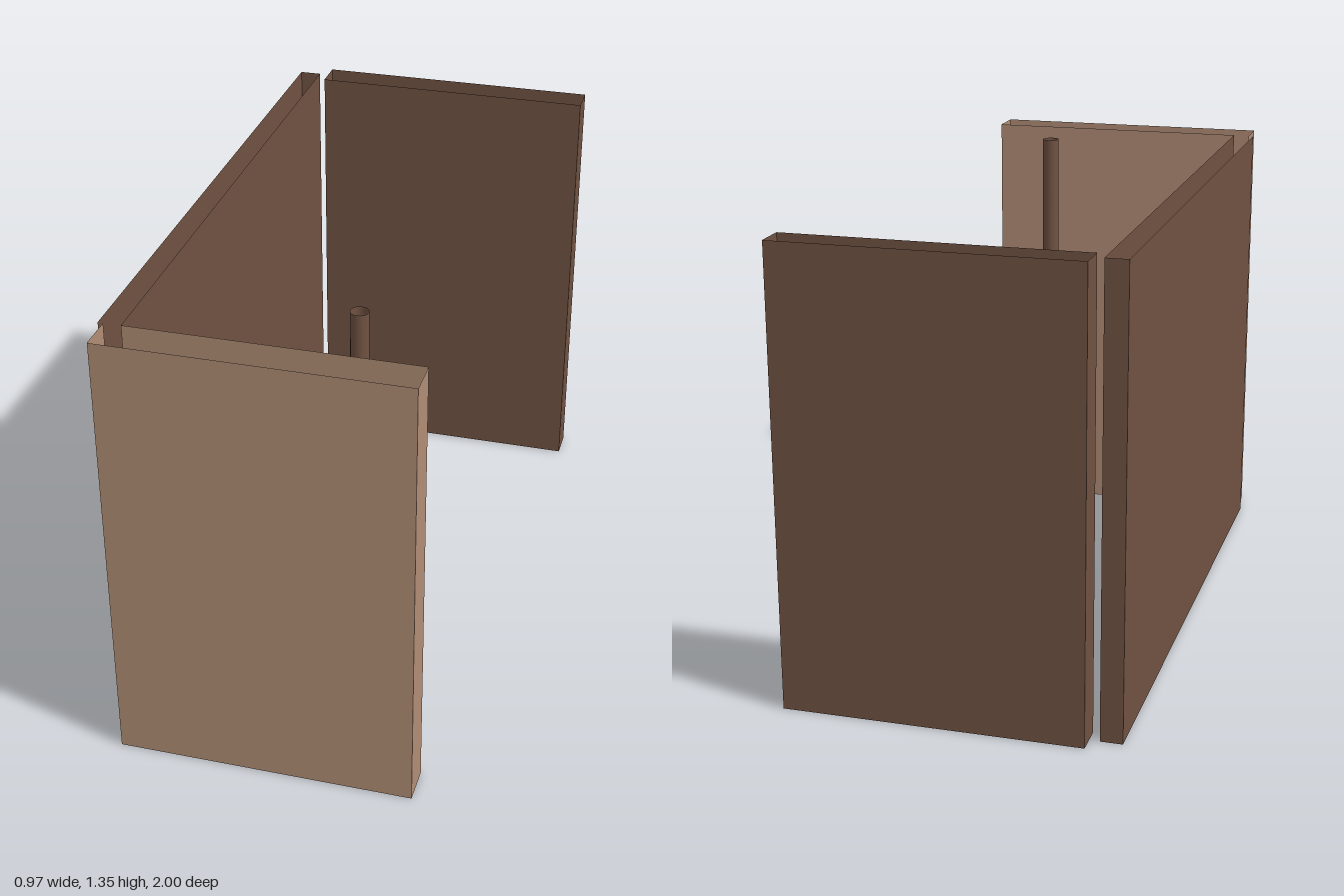
import * as THREE from 'three';

const HEIGHT = 1.35;

// Vertical faces along a plan outline of [x, z] points, open at top and bottom.
// Outlines run along +x on the front side so that the faces look outward.
function wallStrip(outline) {
  const positions = [];
  for (let i = 0; i < outline.length - 1; i++) {
    const [ax, az] = outline[i];
    const [bx, bz] = outline[i + 1];
    positions.push(
      ax, 0, az, bx, 0, bz, bx, HEIGHT, bz,
      ax, 0, az, bx, HEIGHT, bz, ax, HEIGHT, az
    );
  }
  const geometry = new THREE.BufferGeometry();
  geometry.setAttribute('position', new THREE.Float32BufferAttribute(positions, 3));
  geometry.computeVertexNormals();
  return geometry;
}

export function createModel() {
  const model = new THREE.Group();
  model.name = 'wallEnclosure';

  const lightBrown = new THREE.MeshStandardMaterial({ color: 0xb08d75, side: THREE.DoubleSide });
  lightBrown.name = 'lightBrown';
  const darkBrown = new THREE.MeshStandardMaterial({ color: 0x705242, side: THREE.DoubleSide });
  darkBrown.name = 'darkBrown';

  const add = (name, geometry, material) => {
    const mesh = new THREE.Mesh(geometry, material);
    mesh.name = name;
    model.add(mesh);
    return mesh;
  };

  // Front wall, its rear face left open where the side wall joins
  add('frontWall', wallStrip([
    [-0.42, 0.89], [-0.47, 0.89], [-0.47, 1], [0.405, 1], [0.405, 0.89], [-0.42, 0.89],
  ].slice(1)), lightBrown);

  // Long side wall, open at the end that meets the front wall
  add('sideWall', wallStrip([
    [-0.42, 0.89], [-0.42, -0.95], [-0.485, -0.95], [-0.485, 0.89],
  ]), darkBrown);

  // Back wall, closed all round
  add('backWall', wallStrip([
    [-0.39, -0.905], [0.485, -0.905], [0.485, -1], [-0.39, -1], [-0.39, -0.905],
  ]), darkBrown);

  // Free-standing round column
  const column = add('column',
    new THREE.CylinderGeometry(0.026, 0.026, HEIGHT, 20, 1, true), darkBrown);
  column.position.set(0.16, HEIGHT / 2, 0.652);

  return model;
}
